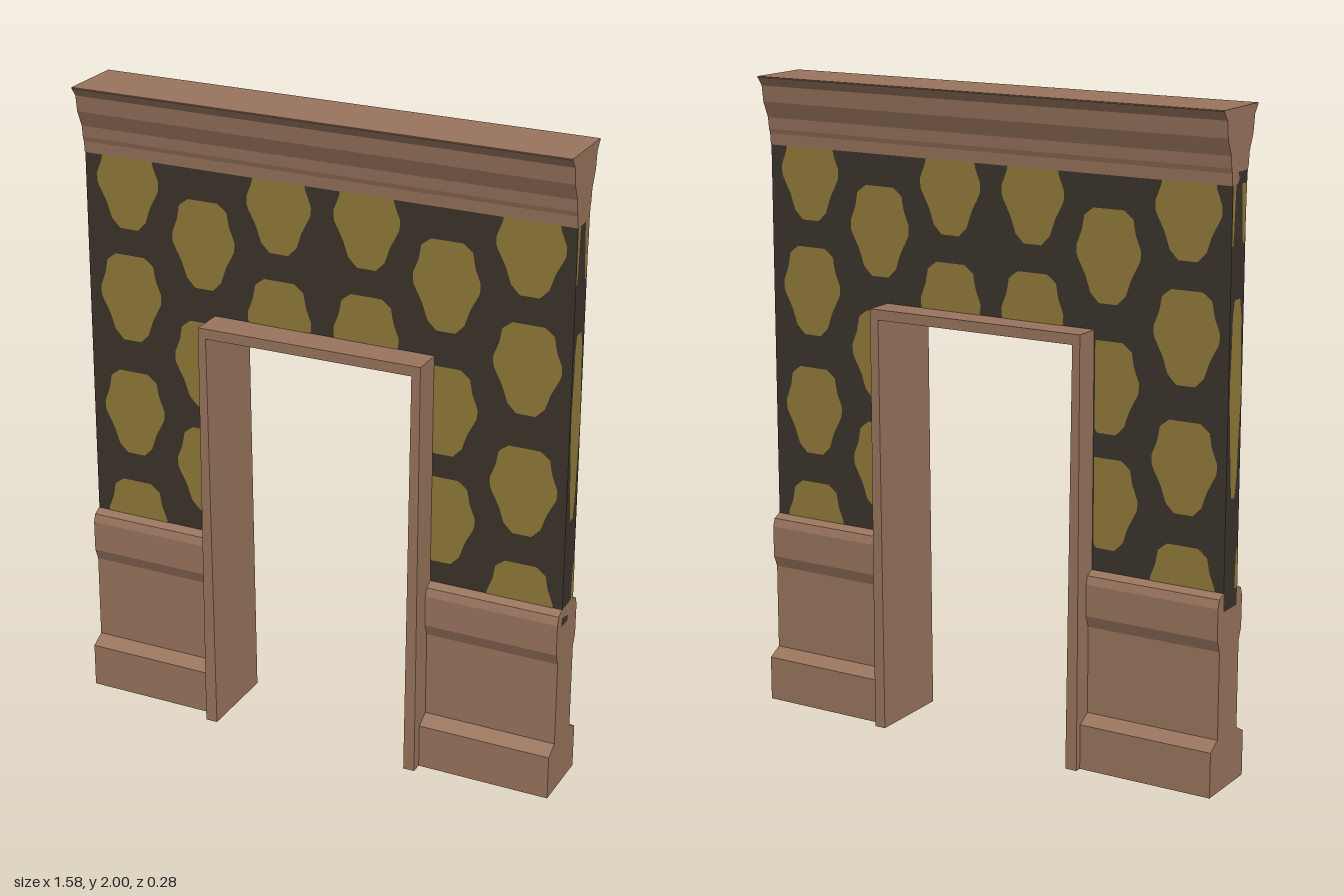
import * as THREE from 'three';

const wood = new THREE.MeshStandardMaterial({ color: 0x98745d });
wood.name = 'brown wood';
const dark = new THREE.MeshStandardMaterial({ color: 0x3b332b });
dark.name = 'dark wallpaper';
const gold = new THREE.MeshStandardMaterial({ color: 0x907938 });
gold.name = 'gold wallpaper motif';

const END = 0.79, HALF = 0.043, LOW = 0.605, HIGH = 1.785;

// the wall runs very slightly askew to the door frame: z shifts along x
const skew = new THREE.Matrix4().set(
  1, 0, 0, 0,
  0, 1, 0, 0,
  0.0127, 0, 1, -0.0075,
  0, 0, 0, 1);

const toShape = pts => new THREE.Shape(pts.map(p => new THREE.Vector2(p[0], p[1])));

function addMesh(group, name, geometry, material) {
  const mesh = new THREE.Mesh(geometry, material);
  mesh.name = name;
  group.add(mesh);
  return mesh;
}

// moulding with the same half profile [depth, height] on both sides, run from x0 to x1
function moulding(half, x0, x1) {
  const other = half.map(([d, y]) => [-d, y]).reverse();
  const geo = new THREE.ExtrudeGeometry(toShape([...half, ...other]), { depth: x1 - x0, bevelEnabled: false });
  return geo.rotateY(Math.PI / 2).translate(x0, 0, 0).applyMatrix4(skew);
}

// upright slab cut from a front outline, centred on z
function slab(pts, depth) {
  return new THREE.ExtrudeGeometry(toShape(pts), { depth, bevelEnabled: false }).translate(0, 0, -depth / 2);
}

// flat motif: blunt top, wide shoulders, tapering base, trimmed to a rectangle
const MOTIF = [[0.05, 0.138], [0.08, 0.115], [0.088, 0.07], [0.106, 0.025], [0.104, -0.005],
  [0.075, -0.06], [0.058, -0.11], [0.03, -0.138]];
function motif(cx, cy, sx, sy, [xMin, xMax, yMin, yMax]) {
  const ring = [...MOTIF.map(([x, y]) => [-x, y]).reverse(), ...MOTIF].reverse();
  const dense = toShape([...ring, ring[0]]).getSpacedPoints(80);
  const pts = [];
  for (const p of dense) {
    const q = new THREE.Vector2(
      THREE.MathUtils.clamp(cx + p.x * sx, xMin, xMax),
      THREE.MathUtils.clamp(cy + p.y * sy, yMin, yMax));
    if (!pts.length || q.distanceTo(pts[pts.length - 1]) > 1e-4) pts.push(q);
  }
  if (pts[0].distanceTo(pts[pts.length - 1]) < 1e-4) pts.pop();
  return new THREE.ShapeGeometry(new THREE.Shape(pts));
}

export function createModel() {
  const model = new THREE.Group();
  model.name = 'panelledDoorway';

  // papered wall around the opening
  addMesh(model, 'wall', slab([
    [-END, 0.55], [-0.345, 0.55], [-0.345, 1.315], [0.355, 1.315], [0.355, 0.55], [END, 0.55],
    [END, 1.82], [-END, 1.82]], HALF * 2).applyMatrix4(skew), dark);

  // gold motifs on the front and back faces
  const columns = [
    [-0.645, [1.70, 1.34, 0.96, 0.59]], [-0.39, [1.55, 1.165, 0.815]],
    [-0.137, [1.70, 1.34]], [0.147, [1.70, 1.34]],
    [0.40, [1.55, 1.165, 0.815]], [0.655, [1.70, 1.34, 0.96, 0.59]]];
  const paper = new THREE.Group();
  paper.name = 'wallpaperMotifs';
  model.add(paper);
  for (const [x, heights] of columns) {
    for (const y of heights) {
      const inner = Math.abs(x) < 0.2, beside = y < 1.3;
      const area = [
        beside && x > 0 ? 0.36 : -END, beside && x < 0 ? -0.35 : END,
        inner ? 1.325 : LOW, HIGH];
      const front = motif(x, y, 1, 1, area);
      const back = front.clone().rotateY(Math.PI);
      addMesh(paper, 'frontMotif', front.translate(0, 0, HALF + 0.002).applyMatrix4(skew), gold);
      addMesh(paper, 'backMotif', back.translate(0, 0, -HALF - 0.002).applyMatrix4(skew), gold);
    }
  }

  // stretched motifs on the two narrow ends
  for (const side of [1, -1]) {
    for (const [u, y, sx, sy] of [[0, 1.17, 0.34, 2.1], [-0.04, 1.78, 0.15, 1.2],
      [0.03, 1.78, 0.15, 1.2], [0.04, 0.6, 0.16, 0.9]]) {
      const end = motif(u, y, sx, sy, [-HALF, HALF, LOW, HIGH]);
      end.rotateY(side * Math.PI / 2).translate(side * (END + 0.001), 0, 0).applyMatrix4(skew);
      addMesh(paper, 'endMotif', end, gold);
    }
  }

  // crown moulding along the top
  addMesh(model, 'crownMoulding', moulding([
    [0.046, 1.785], [0.049, 1.82], [0.054, 1.835], [0.058, 1.87], [0.08, 1.92],
    [0.087, 1.97], [0.1075, 1.997], [0.1075, 2]], -END, END), wood);

  // wainscot with skirting and rail on either side of the door
  const wainscot = [[0.1075, 0], [0.1075, 0.14], [0.063, 0.165], [0.063, 0.435],
    [0.078, 0.472], [0.079, 0.57], [0.07, 0.595], [0.046, 0.607]];
  addMesh(model, 'rightWainscot', moulding(wainscot, -END, -0.345), wood);
  addMesh(model, 'leftWainscot', moulding(wainscot, 0.355, END), wood);

  // door frame, with jambs thickening slightly towards the floor
  addMesh(model, 'doorFrame', slab([
    [-0.355, 0], [-0.317, 0], [-0.33, 1.3], [0.338, 1.3], [0.33, 0], [0.366, 0],
    [0.366, 1.332], [-0.355, 1.332]], 0.28), wood);

  return model;
}
